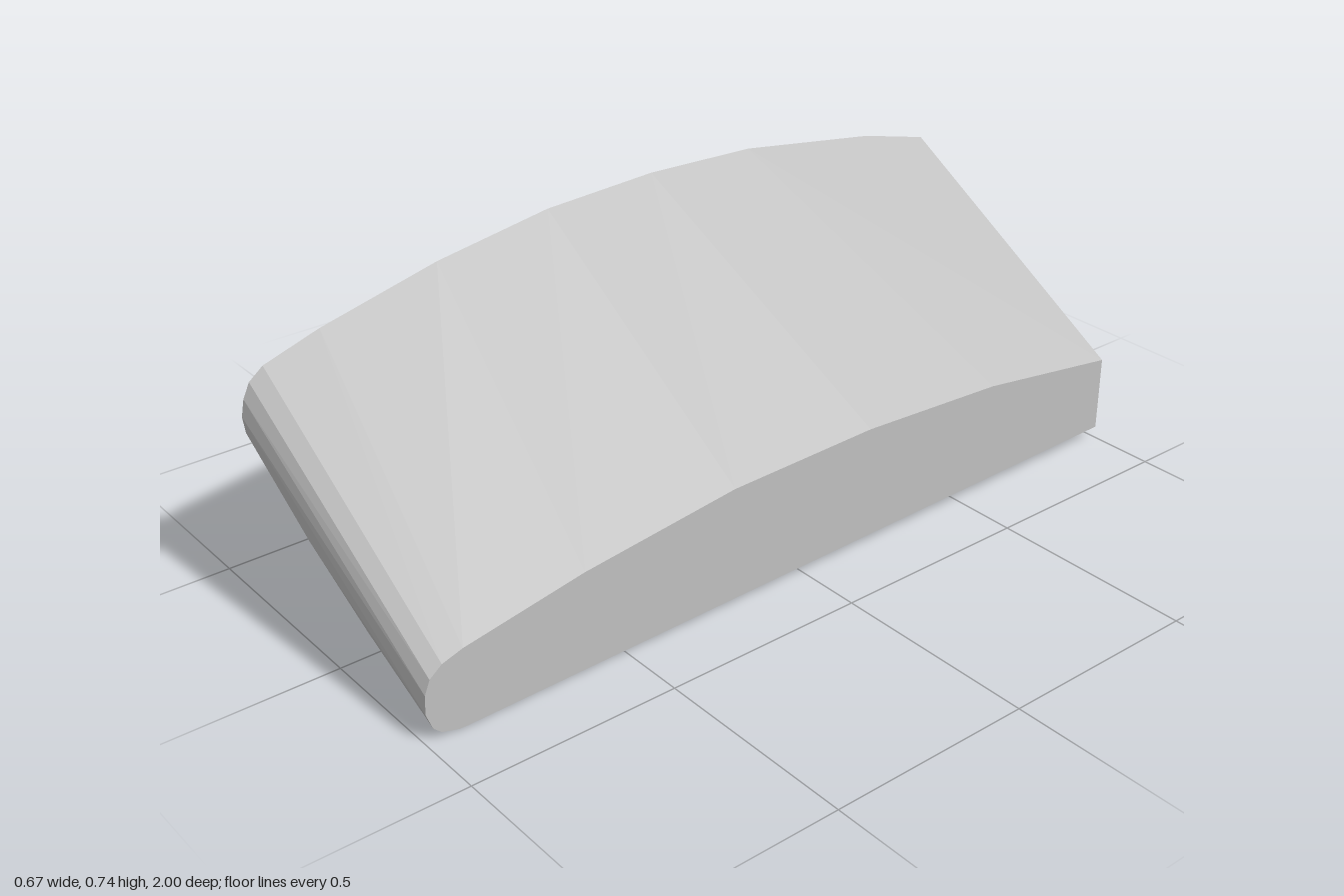
import * as THREE from 'three';
import { ConvexGeometry } from 'three/addons/geometries/ConvexGeometry.js';

// Each section is a list of [z, y] points at one x position.
const sections = [
  // high end: arched top, rounded nose, flat underside
  { x: -0.335, points: [
    [-1, 0.39], [-1, 0.62], [-0.8, 0.67], [-0.4, 0.73], [-0.1, 0.741], [0.2, 0.727],
    [0.5, 0.68], [0.8, 0.608], [0.94, 0.563], [0.975, 0.535], [0.992, 0.5], [1, 0.46],
    [0.995, 0.42], [0.975, 0.38], [0.95, 0.36], [0.91, 0.352]] },
  // ridge where the underside changes slope
  { x: -0.13, points: [[0.91, 0.2]] },
  { x: -0.1, points: [[-1, 0.2], [0.91, 0.182], [0.965, 0.2], [0.99, 0.26]] },
  // gentle curve of the lower front edge
  { x: 0.08, points: [[0.92, 0.096], [0.97, 0.121]] },
  { x: 0.29, points: [[0.92, 0.012]] },
  // low end
  { x: 0.335, points: [
    [-1, 0.03], [-1, 0.22], [-0.6, 0.277], [-0.2, 0.299], [0.2, 0.291], [0.6, 0.243],
    [0.9, 0.188], [0.95, 0.172], [0.98, 0.148], [0.993, 0.115], [0.995, 0.07],
    [0.98, 0.03], [0.96, 0.012], [0.92, 0.001], [0.9, 0]] },
];

export function createModel() {
  const group = new THREE.Group();
  group.name = 'sweptPanel';

  const grey = new THREE.MeshStandardMaterial({ color: 0xc0c0c0 });
  grey.name = 'grey';

  // one solid faceted skin around all sections
  const corners = sections.flatMap(({ x, points }) =>
    points.map(([z, y]) => new THREE.Vector3(x, y, z)));
  const body = new THREE.Mesh(new ConvexGeometry(corners), grey);
  body.name = 'body';
  group.add(body);
  return group;
}
